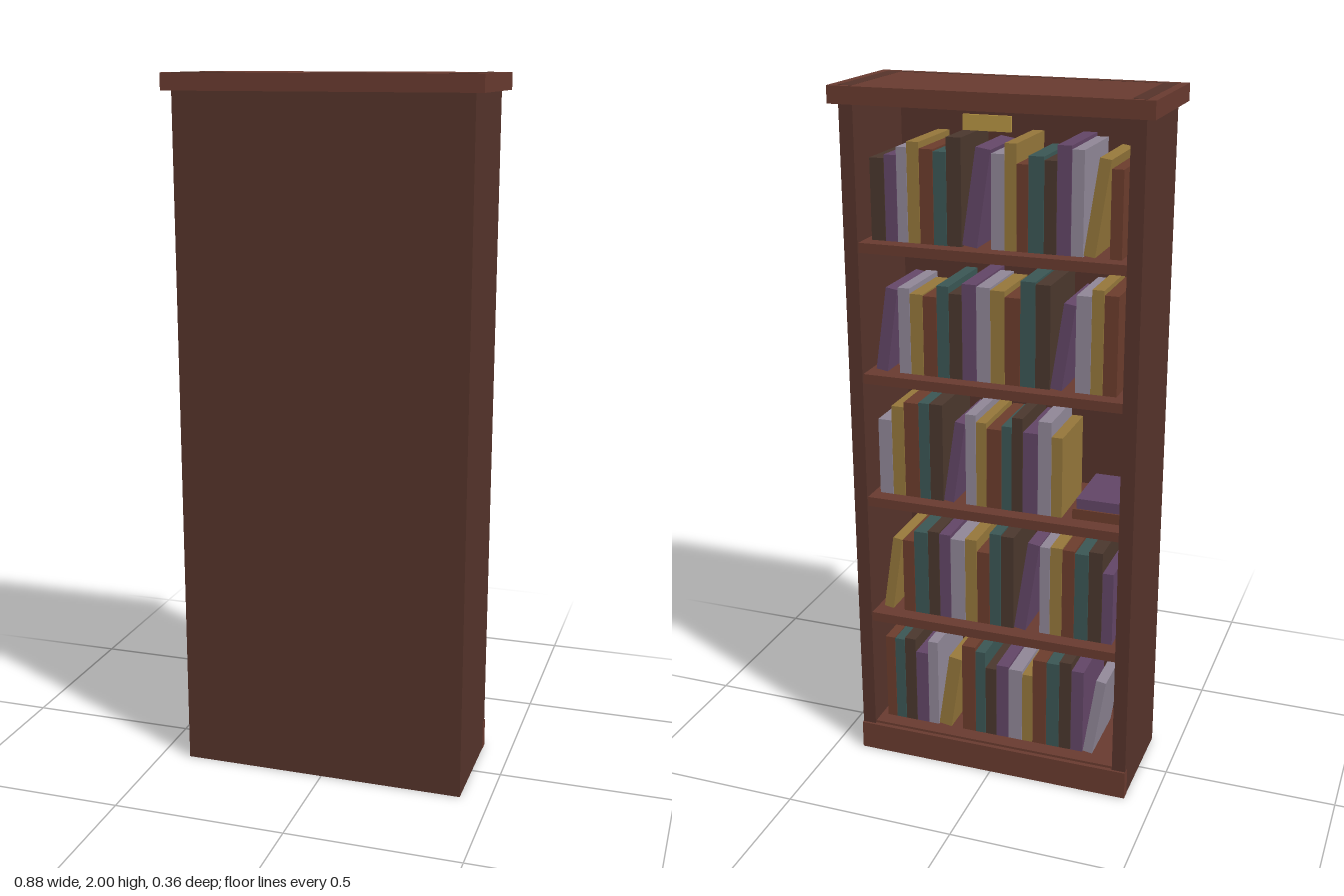
import * as THREE from 'three';

const mat = (color) => new THREE.MeshStandardMaterial({ color });
const WOOD = mat(0x55332a), TRIM = mat(0x683a2f), BRASS = mat(0xb59443);
// purple, lavender, mustard, red-brown, teal, dark brown
const COVERS = [0x624566, 0x8f8696, 0x94763a, 0x6b3c2c, 0x3a5654, 0x4a372d].map(mat);

// Box given by its lower and upper corners
function box(name, material, x0, x1, y0, y1, z0, z1) {
  const g = new THREE.BoxGeometry(x1 - x0, y1 - y0, z1 - z0);
  g.translate((x0 + x1) / 2, (y0 + y1) / 2, (z0 + z1) / 2);
  const m = new THREE.Mesh(g, material);
  m.name = name;
  return m;
}

function makeRandom(seed) {
  return () => {
    seed = (seed * 16807) % 2147483647;
    return seed / 2147483647;
  };
}

// Row of upright books from +x to -x; those listed in leaning tilt towards -x
function bookRow(y, start, end, firstCover, leaning, rand) {
  const row = new THREE.Group();
  row.name = 'bookRow';
  let x = start;
  for (let i = 0; i < 30; i++) {
    const w = 0.029 + rand() * 0.015;
    const h = 0.22 + rand() * 0.075;
    const d = 0.19 + rand() * 0.04;
    const tilt = leaning.includes(i) ? 0.15 : 0;
    const next = x - w - h * Math.sin(tilt);
    if (next < end) break;
    const book = box('book', COVERS[(firstCover + i) % 6], 0, w, 0, h, -0.115, -0.115 + d);
    book.position.set(x - w, y, 0);
    book.rotation.z = tilt;
    row.add(book);
    x = next - 0.001;
  }
  return row;
}

export function createModel() {
  const model = new THREE.Group();
  model.name = 'bookcase';
  const rand = makeRandom(4217);

  // Carcass: two sides and the closed panel
  for (const s of [-1, 1]) {
    model.add(box('sidePanel', WOOD, s * 0.395 - 0.02, s * 0.395 + 0.02, 0, 2.0005, -0.166, 0.165));
  }
  model.add(box('backPanel', WOOD, -0.376, 0.376, 0, 2.0005, 0.15, 0.165));

  // Cornice and plinth
  model.add(box('cornice', TRIM, -0.44, 0.44, 1.953, 2, -0.182, 0.182));
  model.add(box('plinth', TRIM, -0.416, 0.416, 0, 0.085, -0.173, -0.145));
  model.add(box('floorBase', WOOD, -0.376, 0.376, 0, 0.065, -0.15, 0.151));

  // Small brass plate under the cornice
  model.add(box('namePlate', BRASS, -0.065, 0.065, 1.903, 1.943, -0.171, -0.163));

  // Shelves with their books, bottom to top
  const rows = [
    { first: 3, leaning: [5, 16] },
    { first: 2, leaning: [0, 10] },
    { first: 1, leaning: [5], end: -0.205 },
    { first: 0, leaning: [0, 12] },
    { first: 5, leaning: [7, 15] },
  ];
  rows.forEach(({ first, leaning, end = -0.355 }, i) => {
    const top = 0.092 + i * 0.373;
    model.add(box('shelf', TRIM, -0.376, 0.376, top - 0.028, top, -0.16, 0.151));
    model.add(bookRow(top, 0.355, end, first, leaning, rand));
  });

  // Books lying flat at the end of the middle shelf
  const y = 0.092 + 2 * 0.373;
  model.add(box('flatBook', COVERS[3], -0.365, -0.225, y, y + 0.03, -0.11, 0.1));
  model.add(box('flatBook', COVERS[0], -0.36, -0.235, y + 0.03, y + 0.06, -0.105, 0.09));

  return model;
}
